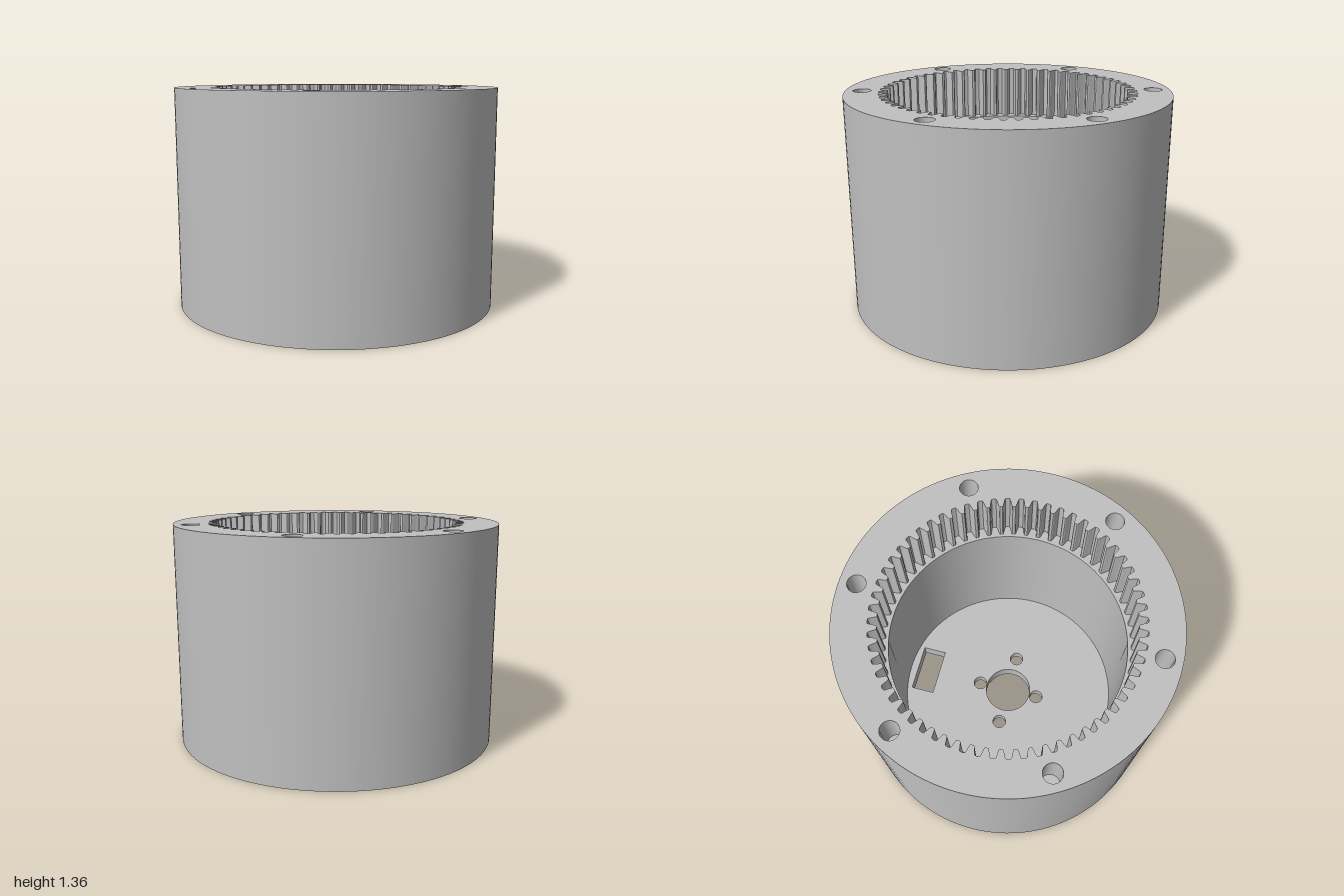
import * as THREE from 'three';
import { toCreasedNormals } from 'three/addons/utils/BufferGeometryUtils.js';

const HEIGHT = 1.36, LEDGE = 1.03, FLOOR = 0.1, POCKET = 0.03;
const BORE = 0.72, TEETH = 60;

// Loops are lists of (x, z) points, each running from +x towards +z
function arc(cx, cz, r, from, to, n) {
  return Array.from({ length: n }, (_, i) => {
    const a = from + (to - from) * i / n;
    return new THREE.Vector2(cx + r * Math.cos(a), cz + r * Math.sin(a));
  });
}
const circle = (cx, cz, r, n = 32) => arc(cx, cz, r, 0, Math.PI * 2, n);

// Ring of internal teeth, with one tooth centred on each axis
function gearLoop() {
  const profile = [[-0.5, 0.792], [-0.34, 0.79], [-0.29, 0.782], [-0.22, 0.758],
    [-0.16, 0.742], [-0.1, 0.738], [0.1, 0.738], [0.16, 0.742], [0.22, 0.758], [0.29, 0.782], [0.34, 0.79]];
  const points = [];
  for (let i = 0; i < TEETH; i++) {
    for (const [t, r] of profile) {
      const a = (i + t) * Math.PI * 2 / TEETH;
      points.push(new THREE.Vector2(r * Math.cos(a), r * Math.sin(a)));
    }
  }
  return points;
}

// Flat horizontal face with holes, facing up or down
function face(loop, holes, y, up) {
  const flip = (points) => points.map((p) => new THREE.Vector2(p.x, up ? -p.y : p.y));
  const shape = new THREE.Shape(flip(loop));
  shape.holes = holes.map((h) => new THREE.Path(flip(h)));
  return new THREE.ShapeGeometry(shape).rotateX(up ? -Math.PI / 2 : Math.PI / 2).translate(0, y, 0);
}

// Upright wall along a loop, facing into the loop, or away from it when outside is set
function wall(loop, y0, y1, outside = false) {
  const points = outside ? [...loop].reverse() : loop;
  const positions = [];
  points.forEach((a, i) => {
    const b = points[(i + 1) % points.length];
    positions.push(a.x, y0, a.y, b.x, y0, b.y, b.x, y1, b.y);
    positions.push(a.x, y0, a.y, b.x, y1, b.y, a.x, y1, a.y);
  });
  const geometry = new THREE.BufferGeometry();
  geometry.setAttribute('position', new THREE.Float32BufferAttribute(positions, 3));
  return toCreasedNormals(geometry, Math.PI / 7);
}

export function createModel() {
  const model = new THREE.Group();
  model.name = 'ringGearHousing';
  const grey = new THREE.MeshStandardMaterial({ color: 0xc0c0c0 });
  grey.name = 'plain grey';
  const add = (name, geometry) => {
    const mesh = new THREE.Mesh(geometry, grey);
    mesh.name = name;
    model.add(mesh);
  };

  const outer = circle(0, 0, 1, 128);
  const bore = circle(0, 0, BORE, 128);
  const gear = gearLoop();
  const shaft = circle(0, 0, 0.155, 64);
  const slot = [[-0.157, -0.67], [0.157, -0.67], [0.157, -0.515], [-0.157, -0.515]]
    .map(([x, z]) => new THREE.Vector2(x, z));
  const ringOfHoles = (count, start, radius, r) => Array.from({ length: count }, (_, i) => {
    const a = start + i * Math.PI * 2 / count;
    return circle(radius * Math.cos(a), radius * Math.sin(a), r);
  });
  const topHoles = ringOfHoles(6, Math.PI / 6, 0.897, 0.056);
  const bottomHoles = ringOfHoles(4, Math.PI / 4, 0.88, 0.05);

  // Motor mount: two separate pockets at the sides, two that cut into the shaft hole
  const sideX = 0.243, nearZ = 0.205, screwR = 0.045, pocketR = 0.078, shaftR = 0.155;
  const screws = [[sideX, 0], [-sideX, 0], [0, nearZ], [0, -nearZ]].map(([x, z]) => circle(x, z, screwR));
  const sidePockets = [sideX, -sideX].map((x) => circle(x, 0, pocketR));
  const chordZ = (nearZ ** 2 + shaftR ** 2 - pocketR ** 2) / (2 * nearZ);
  const chordX = Math.sqrt(shaftR ** 2 - chordZ ** 2);
  const u = Math.atan2(chordX, chordZ), v = Math.atan2(chordX, nearZ - chordZ);
  const q = Math.PI / 2;
  const pocketArcs = [
    arc(0, nearZ, pocketR, -q + v, 3 * q - v, 28),
    arc(0, -nearZ, pocketR, q + v, 5 * q - v, 28),
  ];
  const cloverLoop = [
    ...arc(0, 0, shaftR, -q + u, q - u, 28), ...pocketArcs[0],
    ...arc(0, 0, shaftR, q + u, 3 * q - u, 28), ...pocketArcs[1],
  ];

  // Body shell
  add('outerWall', wall(outer, 0, HEIGHT, true));
  add('topRim', face(outer, [gear, ...topHoles], HEIGHT, true));
  add('gearTeeth', wall(gear, LEDGE, HEIGHT));
  add('gearLedge', face(gear, [bore], LEDGE, true));
  add('boreWall', wall(bore, FLOOR, LEDGE));
  add('innerFloor', face(bore, [shaft, slot, ...screws], FLOOR, true));
  add('underside', face(outer, [cloverLoop, slot, ...sidePockets, ...bottomHoles], 0, false));

  // Openings through the floor
  add('slotWall', wall(slot, 0, FLOOR));
  add('shaftHole', wall(shaft, POCKET, FLOOR));
  add('shaftHoleEdge', wall(cloverLoop, 0, POCKET));
  screws.forEach((s) => add('screwHole', wall(s, POCKET, FLOOR)));
  sidePockets.forEach((p, i) => {
    add('screwPocketWall', wall(p, 0, POCKET));
    add('screwPocketSeat', face(p, [screws[i]], POCKET, false));
  });
  pocketArcs.forEach((p, i) => {
    const mid = i ? -q : q;
    const inner = arc(0, 0, shaftR, mid + u, mid - u, 12);
    add('screwPocketSeat', face([...p, ...inner], [screws[i + 2]], POCKET, false));
  });

  // Blind bolt holes in the rim and the underside
  topHoles.forEach((h) => {
    add('topBoltHole', wall(h, HEIGHT - 0.3, HEIGHT));
    add('topBoltHoleEnd', face(h, [], HEIGHT - 0.3, true));
  });
  bottomHoles.forEach((h) => {
    add('bottomBoltHole', wall(h, 0, 0.3));
    add('bottomBoltHoleEnd', face(h, [], 0.3, false));
  });
  return model;
}
